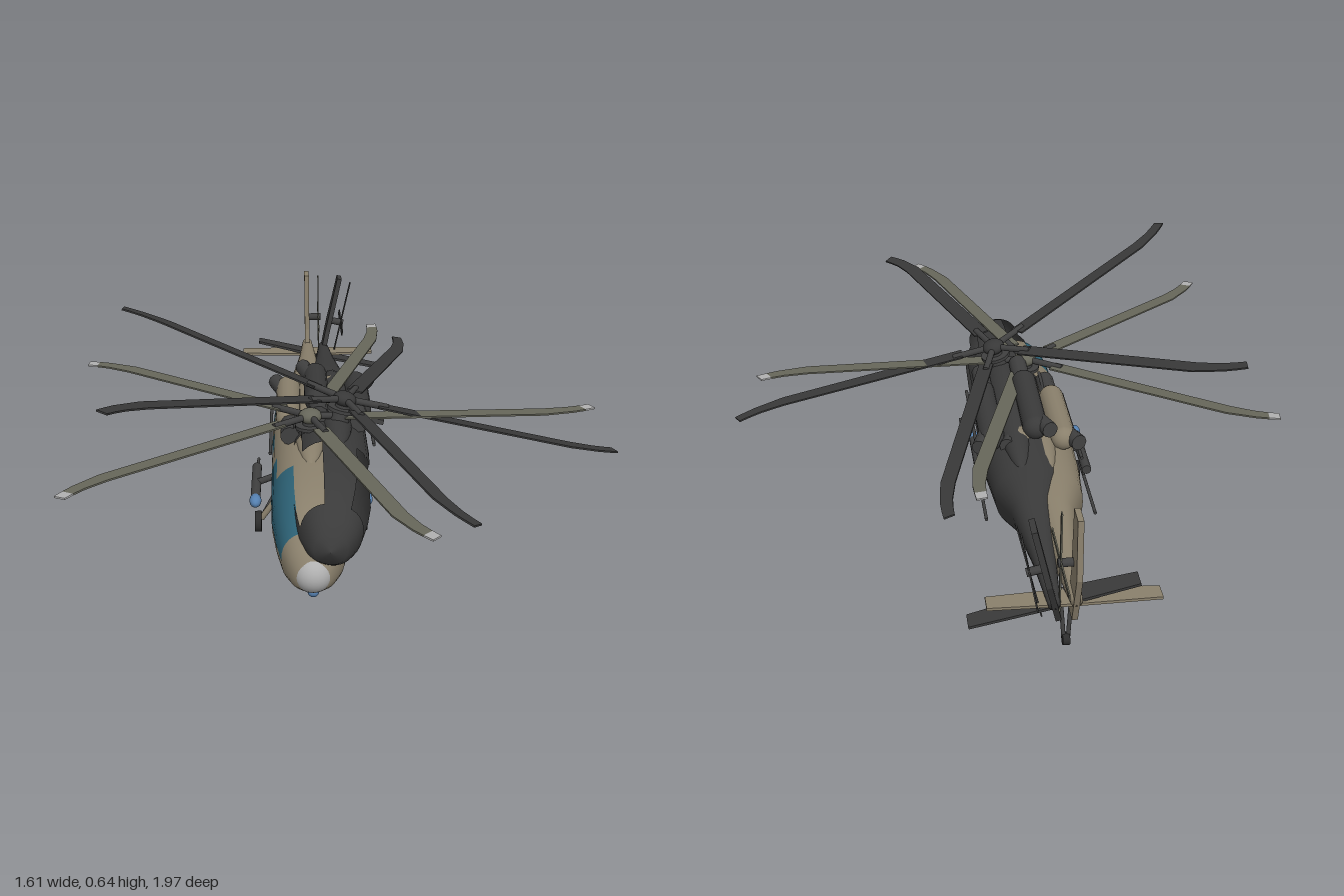
import * as THREE from 'three';

const mat = (name, color, side = THREE.FrontSide) => {
  const m = new THREE.MeshStandardMaterial({ color, side });
  m.name = name;
  return m;
};

// Hull stations: z, bottom y, top y, half width
const STATIONS = [
  [0.735, 0.155, 0.155, 0], [0.72, 0.115, 0.2, 0.045], [0.69, 0.1, 0.235, 0.068],
  [0.65, 0.09, 0.258, 0.085], [0.58, 0.084, 0.295, 0.1], [0.48, 0.079, 0.318, 0.112],
  [0.36, 0.076, 0.328, 0.115], [0.22, 0.075, 0.33, 0.116], [0.1, 0.076, 0.33, 0.116],
  [-0.02, 0.078, 0.33, 0.116], [-0.11, 0.081, 0.33, 0.116], [-0.2, 0.09, 0.33, 0.113],
  [-0.34, 0.118, 0.325, 0.1], [-0.45, 0.16, 0.312, 0.06], [-0.66, 0.208, 0.288, 0.032],
  [-0.85, 0.238, 0.268, 0.016], [-0.855, 0.253, 0.253, 0],
];
const SIDES = 32;

// True where a hull cell is a cockpit pane or a cabin window
function isWindow(z, j) {
  if (j >= SIDES / 2) return false;
  const row = Math.min(j, SIDES / 2 - 1 - j);
  if (z < 0.65 && z > 0.36) return row <= 5;
  if (z < 0.36 && z > 0.22) return row <= 2;
  return row <= 1 && ((z < 0.1 && z > -0.02) || (z < -0.11 && z > -0.2));
}

function hullGeometry(withGlass) {
  const pos = [], body = [], glass = [];
  const pow = (v) => Math.sign(v) * Math.abs(v) ** (2 / 2.3);
  for (const [z, lo, hi, w] of STATIONS) {
    for (let j = 0; j < SIDES; j++) {
      const a = (j / SIDES) * Math.PI * 2;
      pos.push(w * pow(Math.cos(a)), (lo + hi) / 2 + ((hi - lo) / 2) * pow(Math.sin(a)), z);
    }
  }
  for (let i = 0; i < STATIONS.length - 1; i++) {
    const mid = (STATIONS[i][0] + STATIONS[i + 1][0]) / 2;
    for (let j = 0; j < SIDES; j++) {
      const k = (j + 1) % SIDES;
      const a = i * SIDES + j, b = i * SIDES + k, c = a + SIDES, d = b + SIDES;
      (isWindow(mid, j) ? glass : body).push(a, c, b, b, c, d);
    }
  }
  const g = new THREE.BufferGeometry();
  g.setAttribute('position', new THREE.Float32BufferAttribute(pos, 3));
  g.setIndex(body.concat(glass));
  g.computeVertexNormals();
  if (!withGlass) g.setIndex(body);
  g.addGroup(0, body.length, 0);
  if (withGlass) g.addGroup(body.length, glass.length, 1);
  return g;
}

// Flat plate from outline points, extruded and centred on its thickness
function plate(points, depth) {
  const g = new THREE.ExtrudeGeometry(new THREE.Shape(points.map((p) => new THREE.Vector2(...p))), { depth, bevelEnabled: false });
  return g.translate(0, 0, -depth / 2);
}

function add(parent, name, geometry, material, x = 0, y = 0, z = 0) {
  const m = new THREE.Mesh(geometry, material);
  m.name = name;
  m.position.set(x, y, z);
  parent.add(m);
  return m;
}

// Cylinder between two points
function rod(parent, name, a, b, r, material) {
  const p = new THREE.Vector3(...a), q = new THREE.Vector3(...b);
  const m = add(parent, name, new THREE.CylinderGeometry(r, r, p.distanceTo(q), 10), material);
  m.position.copy(p).lerp(q, 0.5);
  m.quaternion.setFromUnitVectors(new THREE.Vector3(0, 1, 0), q.sub(p).normalize());
  return m;
}

function aircraft(name, c) {
  const g = new THREE.Group();
  g.name = name;
  add(g, 'hull', hullGeometry(!!c.glass), [c.hull, c.glass || c.hull]);

  // Engines, roof fairing and side details
  add(g, 'roofFairing', new THREE.SphereGeometry(1, 24, 14), c.hull, 0, 0.315, 0.02).scale.set(0.05, 0.045, 0.36);
  for (const s of [-1, 1]) {
    const e = add(g, 'engine', new THREE.CapsuleGeometry(0.037, 0.25, 6, 16), c.hull, s * 0.065, 0.345, -0.05);
    e.rotation.x = Math.PI / 2;
    rod(g, 'engineIntake', [s * 0.06, 0.34, 0.2], [s * 0.06, 0.34, 0.08], 0.028, c.trim);
    rod(g, 'exhaust', [s * 0.08, 0.345, -0.15], [s * 0.105, 0.35, -0.22], 0.024, c.trim);
    rod(g, 'sideRail', [s * 0.118, 0.285, 0.2], [s * 0.118, 0.285, -0.2], 0.005, c.trim);
  }
  add(g, 'hoist', new THREE.BoxGeometry(0.05, 0.015, 0.03), c.trim, 0.13, 0.3, 0.01);

  // Main rotor
  const rotor = new THREE.Group();
  rotor.name = 'mainRotor';
  rotor.position.set(0, 0.41, 0.215);
  g.add(rotor);
  add(rotor, 'mast', new THREE.CylinderGeometry(0.02, 0.032, 0.1, 16), c.trim, 0, -0.05);
  add(rotor, 'swashPlate', new THREE.CylinderGeometry(0.045, 0.045, 0.01, 20), c.trim, 0, -0.03);
  add(rotor, 'hub', new THREE.SphereGeometry(0.034, 20, 12), c.blade).scale.y = 0.65;
  const blade = plate([[0.1, -0.028], [0.68, -0.028], [0.77, -0.01], [0.805, 0.002], [0.79, 0.032], [0.75, 0.022], [0.68, 0.015], [0.1, 0.018]], 0.005).rotateX(-Math.PI / 2);
  const tip = plate([[0.805, 0.002], [0.835, 0.014], [0.82, 0.042], [0.79, 0.032]], 0.005).rotateX(-Math.PI / 2);
  for (let i = 0; i < 5; i++) {
    const arm = new THREE.Group();
    arm.name = 'rotorBlade';
    arm.rotation.y = ((i * 72 + 1) * Math.PI) / 180;
    rotor.add(arm);
    add(arm, 'blade', blade, c.blade);
    add(arm, 'bladeTip', tip, c.tip);
    rod(arm, 'bladeRoot', [0.02, 0, 0], [0.13, 0, 0], 0.01, c.trim);
  }

  // Tail fin, stabiliser and tail rotor
  const fin = add(g, 'tailFin', plate([[0.765, 0.18], [0.83, 0.18], [0.885, 0.34], [0.875, 0.515], [0.815, 0.515], [0.8, 0.32]], 0.016), c.hull);
  fin.rotation.y = Math.PI / 2;
  const stab = add(g, 'stabiliser', plate([[-0.23, 0.785], [0, 0.77], [0.23, 0.785], [0.23, 0.835], [0, 0.84], [-0.23, 0.835]], 0.008), c.hull, 0, 0.235);
  stab.rotation.x = -Math.PI / 2;
  const tail = new THREE.Group();
  tail.name = 'tailRotor';
  tail.position.set(0.04, 0.36, -0.825);
  g.add(tail);
  rod(tail, 'tailRotorShaft', [-0.04, 0, 0], [0.008, 0, 0], 0.012, c.trim);
  for (let i = 0; i < 2; i++) {
    add(tail, 'tailRotorBlade', new THREE.BoxGeometry(0.004, 0.014, 0.3), c.blade).rotation.x = (i * Math.PI) / 2;
  }
  return g;
}

// Nose, belly, stores and wheels, found on the lower machine only
function underside(g, c) {
  add(g, 'radome', new THREE.SphereGeometry(0.054, 24, 16), c.tip, 0, 0.158, 0.69);
  add(g, 'bellyDish', new THREE.CylinderGeometry(0.066, 0.055, 0.016, 28), c.tip, 0, 0.068, 0.35);
  add(g, 'noseSensor', new THREE.SphereGeometry(0.016, 14, 10), c.blue, 0, 0.09, 0.67);
  for (const s of [-1, 1]) {
    const x = s * 0.165;
    rod(g, 'pylonStrut', [s * 0.1, 0.165, 0.09], [x, 0.14, 0.09], 0.01, c.trim);
    rod(g, 'storePod', [x, 0.138, 0.2], [x, 0.138, -0.03], 0.015, c.trim);
    add(g, 'podNose', new THREE.SphereGeometry(0.018, 16, 10), c.blue, x, 0.138, 0.21).scale.z = 1.7;
    rod(g, 'storeRail', [x, 0.088, 0.1], [x, 0.088, -0.2], 0.005, c.trim);
    rod(g, 'railHanger', [x, 0.088, 0.02], [x, 0.138, 0.02], 0.005, c.trim);
    rod(g, 'gearLeg', [s * 0.09, 0.13, 0.14], [s * 0.15, 0.045, 0.14], 0.009, c.hull);
    rod(g, 'gearBrace', [s * 0.1, 0.12, 0.08], [s * 0.15, 0.05, 0.14], 0.005, c.trim);
    const wheel = add(g, 'mainWheel', new THREE.CylinderGeometry(0.032, 0.032, 0.02, 20), c.tire, x - s * 0.005, 0.034, 0.14);
    wheel.rotation.z = Math.PI / 2;
    rod(g, 'tailGearStrut', [s * 0.014, 0.135, -0.685], [s * 0.006, 0.02, -0.7], 0.006, c.trim);
  }
  add(g, 'tailWheel', new THREE.CylinderGeometry(0.018, 0.018, 0.02, 16), c.tire, 0, 0.018, -0.7).rotation.z = Math.PI / 2;
}

export function createModel() {
  const model = new THREE.Group();
  model.name = 'twinHelicopters';
  const tire = mat('tyreBlack', 0x2c2c2c), trim = mat('darkTrim', 0x404040);
  const charcoal = mat('charcoal', 0x3a3a3a, THREE.DoubleSide);
  const charcoalBlade = mat('charcoalBlade', 0x383838);
  const tan = {
    hull: mat('tan', 0x8a806c), glass: mat('tealGlass', 0x2d6276), blade: mat('oliveBlade', 0x66665a),
    tip: mat('lightGrey', 0xb0b0b0), blue: mat('blueLens', 0x5580b0), trim, tire,
  };

  // Level tan machine
  const intact = aircraft('tanHelicopter', tan);
  underside(intact, tan);
  intact.position.x = -0.085;
  model.add(intact);

  // Charcoal machine, tilted through the first, with open window frames
  const burnt = aircraft('charcoalHelicopter', { hull: charcoal, blade: charcoalBlade, tip: charcoalBlade, trim });
  burnt.quaternion.setFromUnitVectors(new THREE.Vector3(0, 1, 0), new THREE.Vector3(0.235, 1, -0.064).normalize());
  const hub = new THREE.Vector3(0, 0.41, 0.215).applyQuaternion(burnt.quaternion);
  burnt.position.set(0.015, 0.46, 0.21).sub(hub);
  model.add(burnt);
  return model;
}
